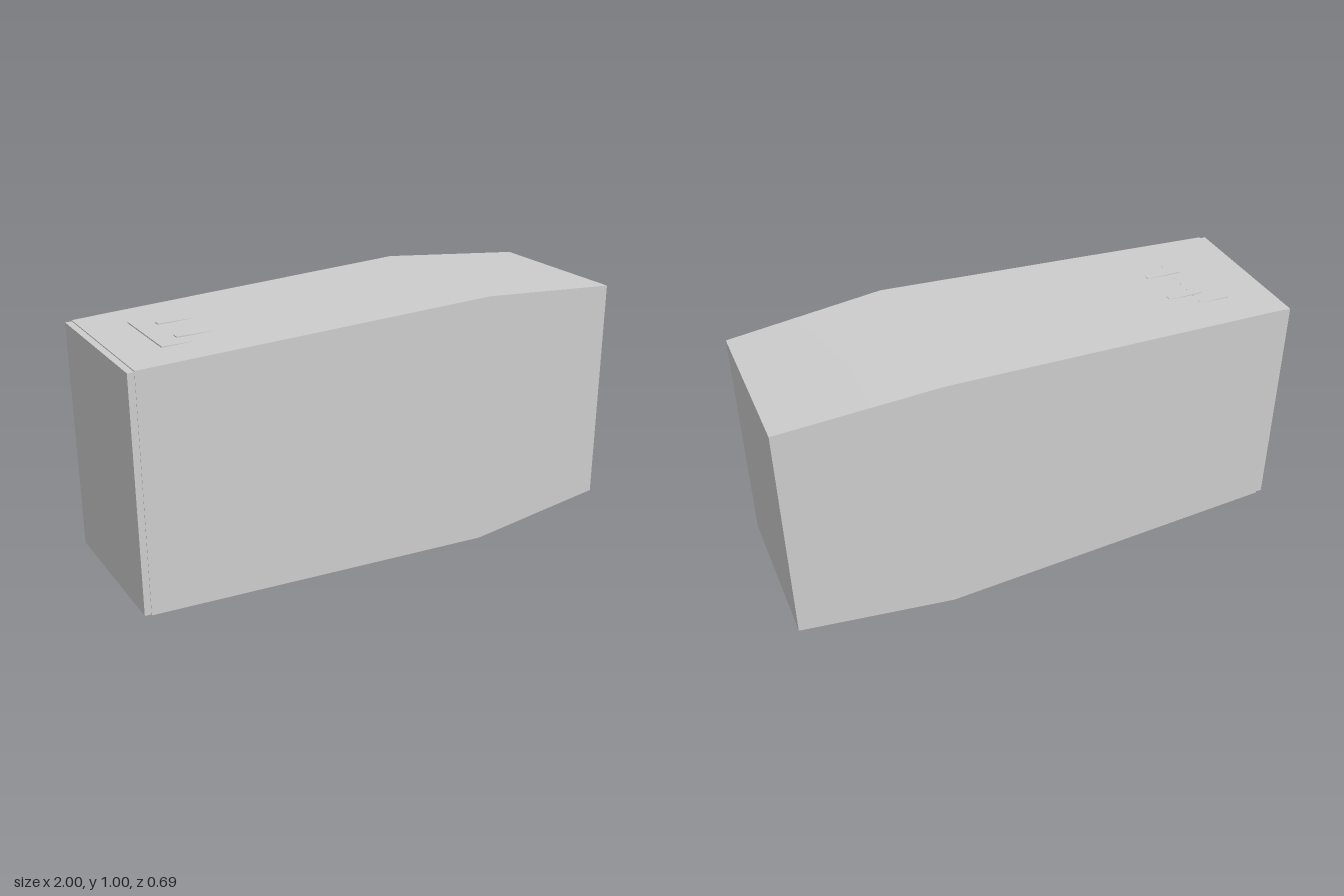
import * as THREE from 'three';

// Cross-sections along x: [x, half height, half depth]
const SECTIONS = [
  [-0.975, 0.449, 0.313],
  [0.4, 0.5, 0.345],
  [1, 0.448, 0.314],
];

// Four long sides that are smooth along x and sharp at the corners, plus two flat ends
function hullGeometry() {
  const positions = [], indices = [];
  const corners = [[-1, 1], [1, 1], [1, -1], [-1, -1]]; // (y, z) signs
  const corner = ([x, h, d], [sy, sz]) => positions.push(x, 0.5 + sy * h, sz * d);
  for (let side = 0; side < 4; side++) {
    const base = positions.length / 3;
    for (const s of SECTIONS) {
      corner(s, corners[side]);
      corner(s, corners[(side + 1) % 4]);
    }
    for (let i = 0; i < SECTIONS.length - 1; i++) {
      const a = base + i * 2;
      indices.push(a, a + 2, a + 1, a + 1, a + 2, a + 3);
    }
  }
  [SECTIONS[0], SECTIONS.at(-1)].forEach((s, end) => {
    const b = positions.length / 3;
    corners.forEach((c) => corner(s, c));
    if (end) indices.push(b, b + 2, b + 1, b, b + 3, b + 2);
    else indices.push(b, b + 1, b + 2, b, b + 2, b + 3);
  });
  const geometry = new THREE.BufferGeometry();
  geometry.setAttribute('position', new THREE.Float32BufferAttribute(positions, 3));
  geometry.setIndex(indices);
  geometry.computeVertexNormals();
  return geometry;
}

export function createModel() {
  const group = new THREE.Group();
  const grey = new THREE.MeshStandardMaterial({ color: 0xcccccc });
  grey.name = 'light grey';

  const add = (name, geometry, x = 0, y = 0, z = 0) => {
    const mesh = new THREE.Mesh(geometry, grey);
    mesh.name = name;
    mesh.position.set(x, y, z);
    group.add(mesh);
  };

  // Tapered body
  add('body', hullGeometry());

  // Slightly inset cap on the narrow end
  add('endCap', new THREE.BoxGeometry(0.04, 0.89, 0.622), -0.98, 0.5, 0);

  // Level plate that just breaks through the sloping top
  add('topPlate', new THREE.BoxGeometry(0.12, 0.03, 0.32), -0.76, 0.9445, 0);

  // Pair of low ribs that fade into the slope
  for (const side of [-1, 1]) {
    add(side < 0 ? 'backRib' : 'frontRib',
      new THREE.BoxGeometry(0.14, 0.03, 0.025), -0.67, 0.9485, side * 0.085);
  }
  return group;
}
